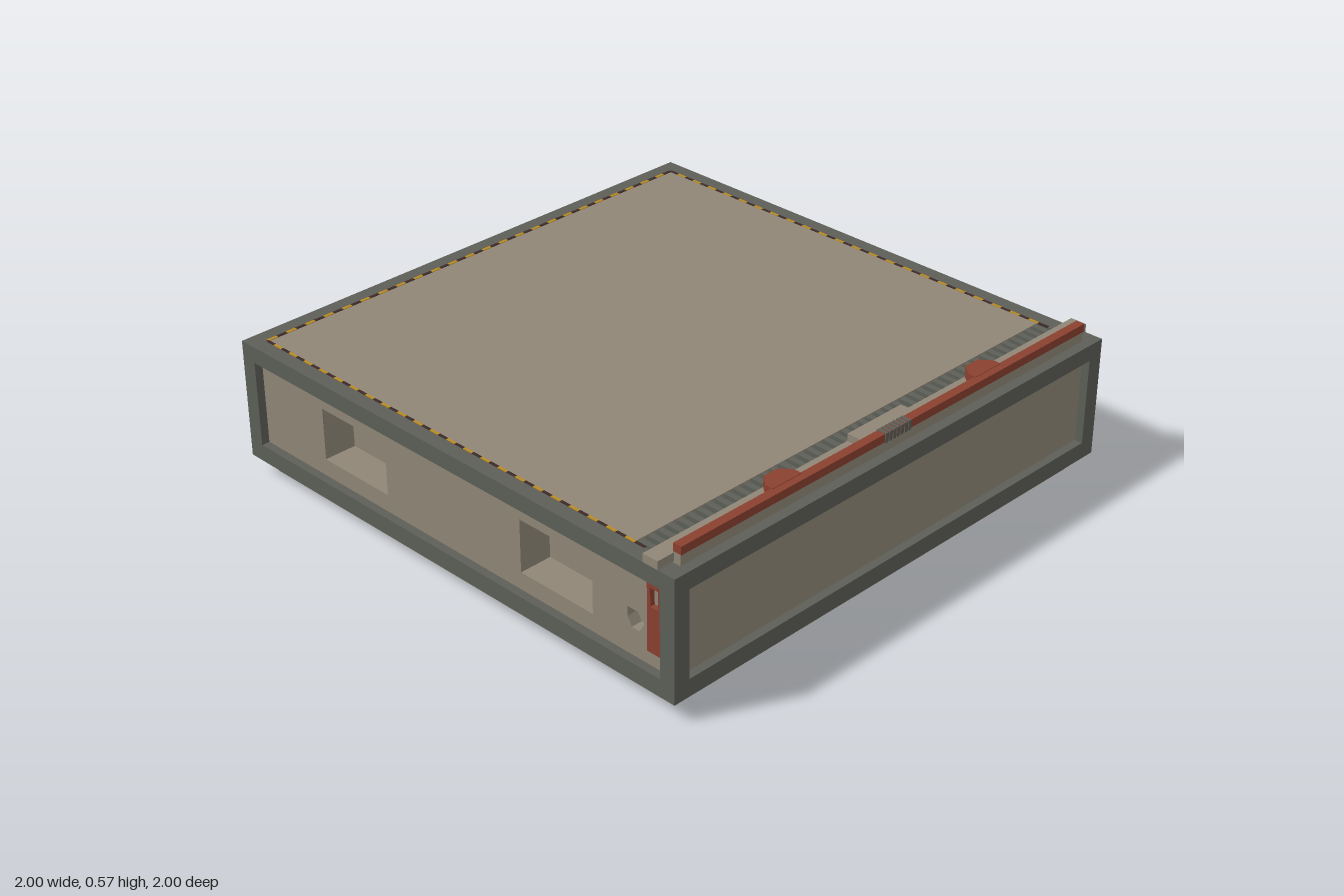
import * as THREE from 'three';

const mat = (name, color) => {
  const m = new THREE.MeshStandardMaterial({ color });
  m.name = name;
  return m;
};

export function createModel() {
  const model = new THREE.Group();
  model.name = 'floorBlock';
  const tan = mat('tan panel', 0x8f8677);
  const grey = mat('grey frame', 0x5c5e57);
  const red = mat('rust red', 0x8a4030);
  const yellow = mat('hazard yellow', 0xb98a1f);
  const dark = mat('hazard dark', 0x3c2a28);

  const add = (parent, name, geo, material) => {
    const mesh = new THREE.Mesh(geo, material);
    mesh.name = name;
    parent.add(mesh);
    return mesh;
  };
  // Box given by its min and max on each axis
  const box = (parent, name, material, x0, x1, y0, y1, z0, z1) => {
    const mesh = add(parent, name, new THREE.BoxGeometry(x1 - x0, y1 - y0, z1 - z0), material);
    mesh.position.set((x0 + x1) / 2, (y0 + y1) / 2, (z0 + z1) / 2);
    return mesh;
  };
  const points = (list) => list.map(([x, y]) => new THREE.Vector2(x, y));
  const rect = (x0, x1, y0, y1) => points([[x0, y0], [x1, y0], [x1, y1], [x0, y1]]);
  const plate = (outline, holes, depth) => {
    const shape = new THREE.Shape(outline);
    holes.forEach((h) => shape.holes.push(new THREE.Path(h)));
    return new THREE.ExtrudeGeometry(shape, { depth, bevelEnabled: false });
  };

  // Tapered foot
  const foot = new THREE.CylinderGeometry(0.97 * Math.SQRT2, 0.94 * Math.SQRT2, 0.07, 4, 1);
  foot.rotateY(Math.PI / 4);
  const flatFoot = foot.toNonIndexed();
  flatFoot.computeVertexNormals();
  add(model, 'foot', flatFoot, tan).position.y = 0.035;

  // Inner core, which closes the window pockets
  box(model, 'core', tan, -0.85, 0.85, 0.068, 0.465, -0.85, 0.85);

  // Frame beams along all twelve edges
  const frame = new THREE.Group();
  frame.name = 'frame';
  model.add(frame);
  for (const s of [-1, 1]) {
    const [a, b] = s > 0 ? [0.94, 1] : [-1, -0.94];
    for (const [y0, y1] of [[0.065, 0.127], [0.44, 0.5]]) {
      box(frame, 'crossBeam', grey, -1, 1, y0, y1, a, b);
      box(frame, 'sideBeam', grey, a, b, y0, y1, -0.94, 0.94);
    }
    for (const [c, d] of [[-1, -0.94], [0.94, 1]]) {
      box(frame, 'cornerPost', grey, a, b, 0.127, 0.44, c, d);
    }
  }

  // Recessed side walls; mirror is the local x direction of the fittings, 0 for none
  const wall = (name, angle, mirror) => {
    const g = new THREE.Group();
    g.name = name;
    g.rotation.y = angle;
    model.add(g);
    const holes = [rect(-0.63, -0.315, 0.19, 0.38), rect(0.315, 0.63, 0.19, 0.38)];
    if (mirror) {
      const m = mirror;
      holes.push(points([
        [0.777 * m, 0.29], [0.845 * m, 0.29], [0.845 * m, 0.255],
        [0.828 * m, 0.225], [0.795 * m, 0.225], [0.777 * m, 0.255],
      ]));
      // Back of the small pocket
      const pocket = box(g, 'pocketBack', tan, -0.045, 0.045, 0.21, 0.3, 0.92, 0.93);
      pocket.position.x = 0.811 * m;
      // Red latch plate with a slot
      const latch = plate(rect(-0.03, 0.03, 0.19, 0.44), [rect(-0.016, 0.016, 0.35, 0.415)], 0.02);
      add(g, 'latchPlate', latch, red).position.set(0.906 * m, 0, 0.968);
    }
    const panel = plate(rect(-0.945, 0.945, 0.12, 0.45), holes, 0.125);
    add(g, 'windowPanel', panel, tan).position.z = 0.845;
  };
  wall('frontWall', 0, 1);
  wall('backWall', Math.PI, -1);
  wall('leftSideWall', -Math.PI / 2, 0);
  box(model, 'plainSidePanel', tan, 0.84, 0.97, 0.12, 0.45, -0.945, 0.945);

  // Floor surface on both sides of the drain channel
  box(model, 'floorSlab', tan, -0.94, 0.78, 0.44, 0.5, -0.94, 0.94);
  box(model, 'floorStrip', tan, 0.84, 0.94, 0.44, 0.5, -0.94, 0.94);
  box(model, 'channelFloor', grey, 0.78, 0.84, 0.46, 0.48, -0.94, 0.94);
  for (let i = 0; i < 47; i++) {
    const z = -0.92 + i * 0.04;
    box(model, 'channelSlat', grey, 0.78, 0.84, 0.48, 0.498, z - 0.011, z + 0.011);
  }

  // Hazard dashes around the floor
  const hazard = new THREE.Group();
  hazard.name = 'hazardBorder';
  model.add(hazard);
  const dash = 1.88 / 48;
  for (let i = 0; i < 48; i++) {
    const a = -0.94 + i * dash;
    const m = i % 2 ? yellow : dark;
    box(hazard, 'dash', m, -0.947, -0.935, 0.498, 0.502, a, a + dash);
    if (a + dash > 0.86) continue;
    for (const z of [-0.941, 0.941]) {
      box(hazard, 'dash', m, a, a + dash, 0.498, 0.502, z - 0.005, z + 0.005);
    }
  }

  // Raised sill and red guard rail
  const rail = new THREE.Group();
  rail.name = 'guardRail';
  model.add(rail);
  box(rail, 'sill', tan, 0.872, 0.932, 0.499, 0.53, -1, 1);
  box(rail, 'railSupport', tan, 0.937, 0.963, 0.499, 0.538, -0.94, 0.94);
  box(rail, 'rail', red, 0.934, 0.966, 0.537, 0.566, -0.94, 0.94);
  box(rail, 'centreBlock', tan, 0.872, 0.934, 0.53, 0.556, -0.125, 0.125);

  // Tapered clamps that hold the rail
  const clampShape = points([
    [0.94, -0.063], [0.912, -0.063], [0.872, -0.03],
    [0.872, 0.03], [0.912, 0.063], [0.94, 0.063],
  ]);
  for (const z of [-0.47, 0.47]) {
    const clamp = plate(clampShape, [], 0.048);
    clamp.rotateX(-Math.PI / 2);
    add(rail, 'clamp', clamp, red).position.set(0, 0.52, z);
  }

  // Ribbed grip at the middle of the rail
  for (let i = 0; i < 7; i++) {
    const z = -0.054 + i * 0.018;
    box(rail, 'gripRib', grey, 0.932, 0.969, 0.534, 0.568, z - 0.006, z + 0.006);
  }
  return model;
}
